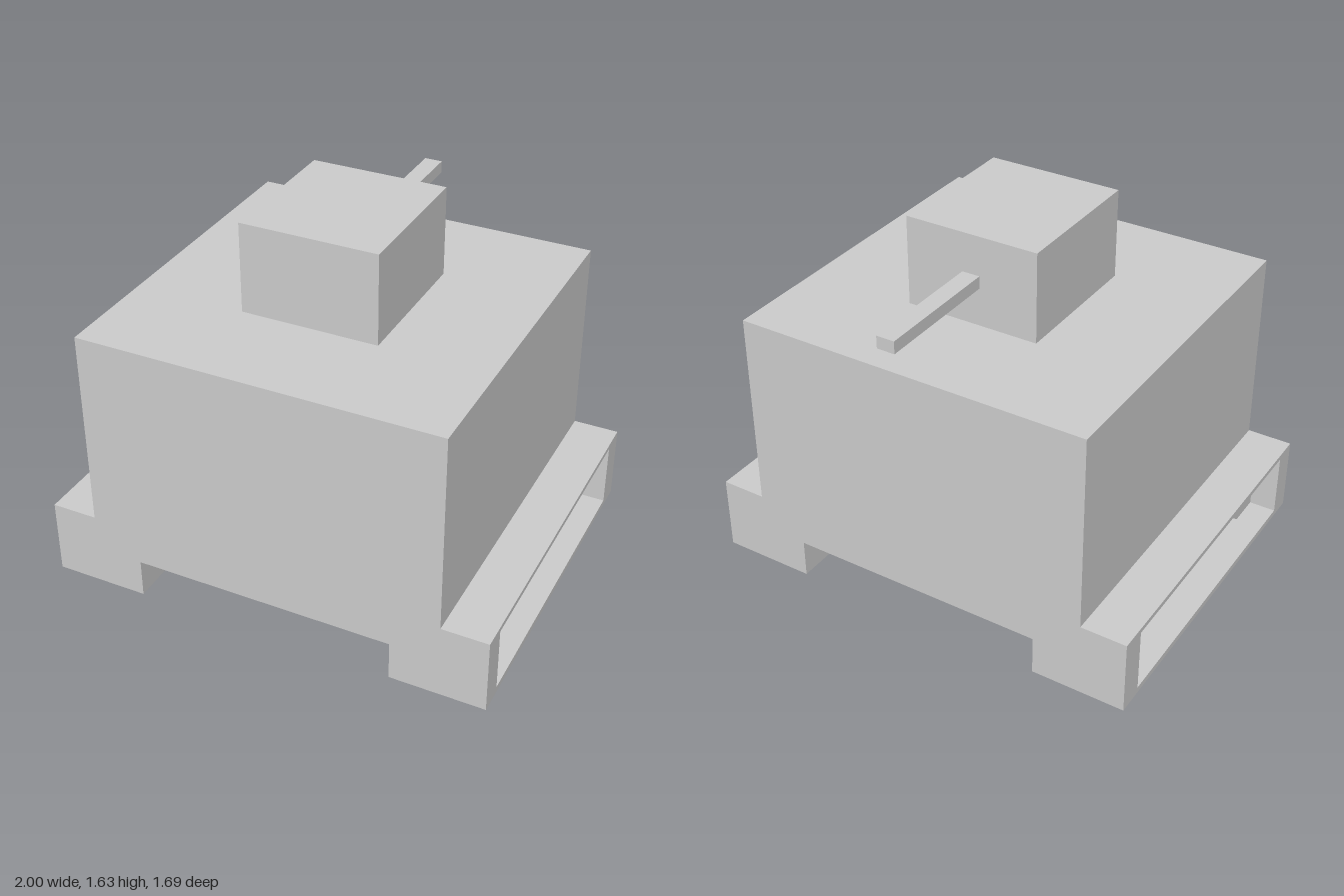
import * as THREE from 'three';

const FRONT = 0.845, BACK = -0.74;

export function createModel() {
  const model = new THREE.Group();
  const grey = new THREE.MeshStandardMaterial({ color: 0xcccccc });
  grey.name = 'light grey';

  const add = (name, geometry) => {
    const mesh = new THREE.Mesh(geometry, grey);
    mesh.name = name;
    model.add(mesh);
    return mesh;
  };
  const block = (name, x0, x1, y0, y1, z0, z1) =>
    add(name, new THREE.BoxGeometry(x1 - x0, y1 - y0, z1 - z0)
      .translate((x0 + x1) / 2, (y0 + y1) / 2, (z0 + z1) / 2));
  const points = (list) => list.map(([x, y]) => new THREE.Vector2(x, y));

  // Hull with the inner half of each track base, one constant section
  const section = new THREE.Shape(points([
    [-0.795, 0], [-0.58, 0], [-0.58, 0.175], [0.58, 0.175],
    [0.58, 0], [0.795, 0], [0.795, 1.23], [-0.795, 1.23],
  ]));
  add('hull', new THREE.ExtrudeGeometry(section, { depth: FRONT - BACK, bevelEnabled: false })
    .translate(0, 0, BACK));

  // Turret and rear-pointing barrel
  block('turret', -0.303, 0.303, 1.23, 1.63, -0.27, 0.38);
  block('barrel', -0.04, 0.04, 1.40, 1.455, -0.85, -0.27);

  // Track housings: frames open to the side (shape x runs along -z)
  const frame = new THREE.Shape(points([[-FRONT, 0], [-BACK, 0], [-BACK, 0.34], [-FRONT, 0.34]]));
  frame.holes.push(new THREE.Path(points([[-0.735, 0.027], [-0.735, 0.318], [0.622, 0.318], [0.622, 0.027]])));
  const frameGeometry = new THREE.ExtrudeGeometry(frame, { depth: 0.205, bevelEnabled: false })
    .rotateY(Math.PI / 2);
  const wheelGeometry = new THREE.CylinderGeometry(0.163, 0.163, 0.085, 48).rotateZ(Math.PI / 2);

  for (const [side, s] of [['left', 1], ['right', -1]]) {
    add(side + 'TrackHousing', frameGeometry).position.x = s > 0 ? 0.795 : -1;
    // Wheels set against the recess wall
    add(side + 'FrontWheel', wheelGeometry).position.set(s * 0.8375, 0.172, 0.663);
    add(side + 'RearWheel', wheelGeometry).position.set(s * 0.8375, 0.172, -0.54);
  }
  return model;
}
